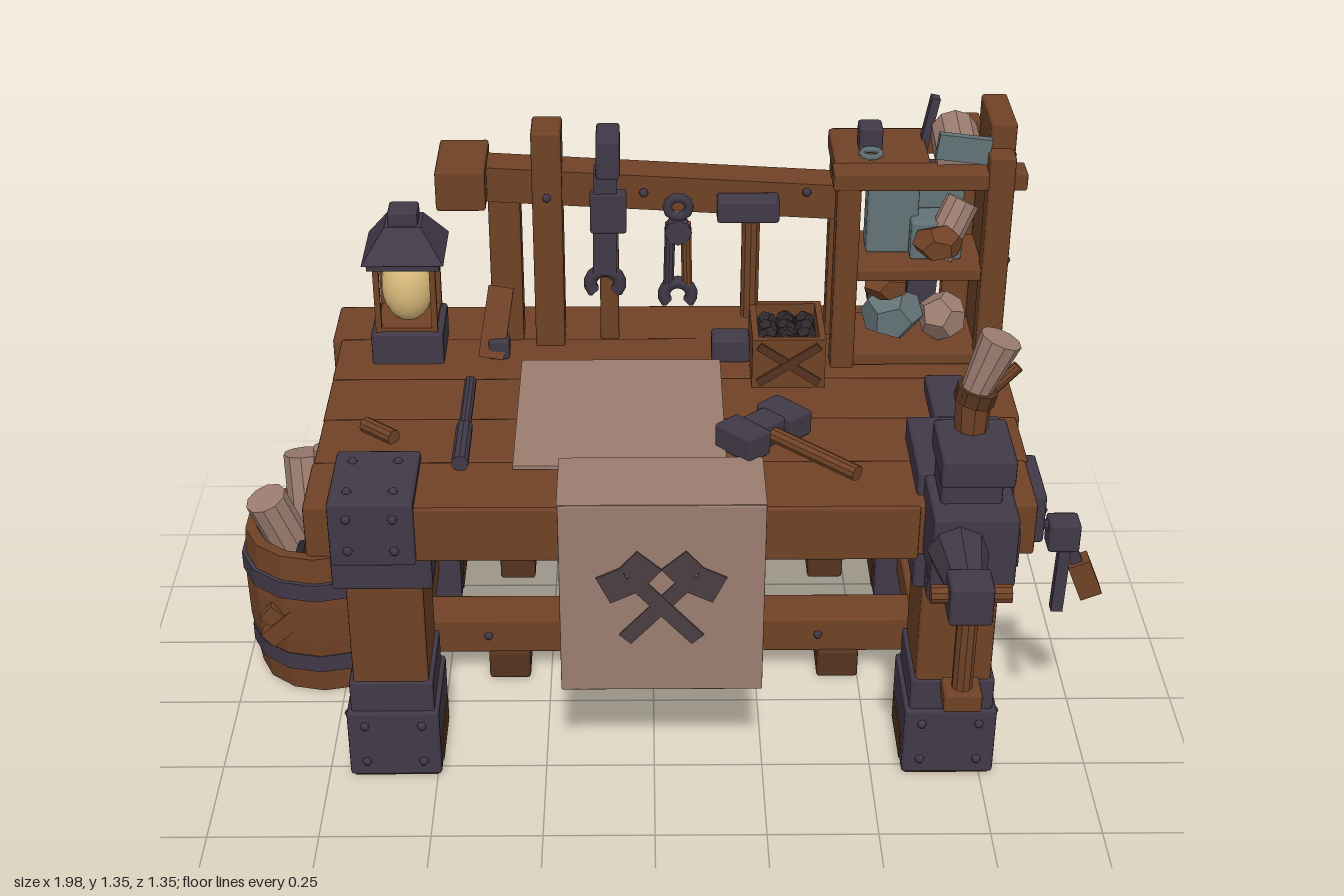
import * as THREE from 'three';
import { toCreasedNormals } from 'three/addons/utils/BufferGeometryUtils.js';
import { RoundedBoxGeometry } from 'three/addons/geometries/RoundedBoxGeometry.js';

const mat = (name, color) => {
  const m = new THREE.MeshStandardMaterial({ color });
  m.name = name;
  return m;
};

export function createModel() {
  const wood = mat('wood', 0x704226), darkWood = mat('dark wood', 0x54321f);
  const metal = mat('iron', 0x413947), paper = mat('parchment', 0x9c7d70);
  const slate = mat('slate cloth', 0x627276), glow = mat('lantern glow', 0xdcbc7c);
  const coal = mat('coal', 0x2b272b), ink = mat('banner ink', 0x4a3d40);
  const rust = mat('rust', 0x75461f);

  const model = new THREE.Group();
  model.name = 'workbench';
  let part = model;
  const group = (name) => {
    part = new THREE.Group();
    part.name = name;
    model.add(part);
    return part;
  };
  let seed = 7;
  const rnd = () => ((seed = (seed * 16807) % 2147483647) / 2147483647) - 0.5;

  const add = (name, geo, m, x = 0, y = 0, z = 0) => {
    const mesh = new THREE.Mesh(geo, m);
    mesh.name = name;
    mesh.position.set(x, y, z);
    part.add(mesh);
    return mesh;
  };
  // Chamfered block given by its limits
  const box = (name, m, x0, x1, y0, y1, z0, z1) => {
    const w = x1 - x0, h = y1 - y0, d = z1 - z0, s = Math.min(w, h, d);
    const geo = s < 0.02 ? new THREE.BoxGeometry(w, h, d) : new RoundedBoxGeometry(w, h, d, 1, Math.min(0.007, s * 0.15));
    return add(name, geo, m, (x0 + x1) / 2, (y0 + y1) / 2, (z0 + z1) / 2);
  };
  const crease = (g) => toCreasedNormals(g, 0.6);
  const cyl = (name, m, r0, r1, h, x, y, z, n = 8) => add(name, crease(new THREE.CylinderGeometry(r0, r1, h, n)), m, x, y, z);
  // Round or square bar between two points
  const bar = (name, m, a, b, w, d = 0) => {
    const p = new THREE.Vector3(...a), q = new THREE.Vector3(...b), len = p.distanceTo(q);
    const geo = d ? new THREE.BoxGeometry(w, len, d) : crease(new THREE.CylinderGeometry(w, w, len, 10));
    const mesh = add(name, geo, m);
    mesh.position.copy(p).lerp(q, 0.5);
    mesh.quaternion.setFromUnitVectors(new THREE.Vector3(0, 1, 0), q.sub(p).normalize());
    return mesh;
  };
  const bolt = (x, y, z) => add('bolt', new THREE.SphereGeometry(0.011, 6, 4), metal, x, y, z);
  const lump = (name, m, r, x, y, z, sy = 1) => {
    const l = add(name, new THREE.DodecahedronGeometry(r), m, x, y, z);
    l.scale.y = sy;
    l.rotation.y = rnd() * 6;
    return l;
  };

  // Table top planks around a solid core
  group('tableTop');
  box('topCore', darkWood, -0.73, 0.81, 0.625, 0.742, -0.62, 0.29);
  [-0.64, -0.46, -0.26, -0.07, 0.12, 0.31].forEach((z, i, a) => {
    if (i) box('topPlank', wood, -0.76 + rnd() * 0.03, 0.835 + rnd() * 0.03, 0.62 + rnd() * 0.01, 0.75 + rnd() * 0.006, a[i - 1], z);
  });
  box('frontEdge', wood, -0.53, 0.57, 0.615, 0.747, 0.28, 0.318);

  // Legs with iron shoes and brackets
  group('legs');
  for (const [x0, x1] of [[-0.7, -0.49], [0.57, 0.78]]) {
    for (const [z0, z1, front] of [[0.06, 0.29, 1], [-0.63, -0.42, -1]]) {
      const xm = (x0 + x1) / 2, zm = (z0 + z1) / 2, side = Math.sign(xm);
      box('leg', wood, x0 + 0.02, x1 - 0.02, 0.02, 0.63, z0 + 0.015, z1 - 0.015);
      box('shoe', metal, x0, x1, 0.01, 0.185, z0, z1);
      box('sole', darkWood, x0 + 0.01, x1 - 0.01, 0.003, 0.012, z0 + 0.01, z1 - 0.01);
      box('shoeCollar', metal, x0 + 0.01, x1 - 0.01, 0.18, 0.265, z0 + 0.01, z1 - 0.01);
      for (const s of [-1, 1]) {
        const fx = s < 0 ? x0 : x1;
        box('shoeWoodPatch', s === side ? rust : darkWood, fx - 0.003, fx + 0.003, 0.022, 0.09, z0 + 0.03, z1 - 0.04);
        bolt(xm + s * 0.065, 0.15, front > 0 ? z1 : z0);
        bolt(xm + s * 0.065, 0.05, front > 0 ? z1 : z0);
        bolt(side > 0 ? x1 : x0, 0.15, zm + s * 0.065);
      }
      box('legBracket', metal, x0 - 0.005, x1 + 0.005, 0.53, 0.622, front > 0 ? 0.17 : z0 - 0.005, front > 0 ? z1 + 0.01 : z1);
    }
    const xm = (x0 + x1) / 2;
    box('sideApron', wood, xm - 0.07, xm + 0.07, 0.51, 0.63, -0.6, 0.25);
    box('sideRail', wood, xm - 0.05, xm + 0.05, 0.09, 0.175, -0.45, 0.08);
    box('railClamp', metal, xm - 0.055, xm + 0.055, 0.085, 0.18, 0.03, 0.07);
  }

  // Back panel boards, lower stretcher and stub feet
  group('frame');
  box('panelCore', darkWood, -0.52, 0.6, 0.09, 0.62, -0.575, -0.54);
  [0.08, 0.21, 0.34, 0.46, 0.625].forEach((y, i, a) => {
    if (i) box('backBoard', wood, -0.52, 0.6, a[i - 1], y, -0.585 + rnd() * 0.008, -0.53);
  });
  box('stretcher', wood, -0.6, 0.68, 0.075, 0.17, -0.21, -0.1);
  for (const x of [-0.35, 0.45]) {
    box('stretcherFoot', darkWood, x - 0.05, x + 0.05, 0.005, 0.08, -0.2, -0.09);
    box('panelFoot', darkWood, x - 0.045, x + 0.045, 0.01, 0.085, -0.6, -0.52);
    bolt(x - 0.05, 0.125, -0.1);
  }
  // Dark cracks in the boards
  for (const [x, y, w] of [[-0.35, 0.53, 0.25], [0.4, 0.5, 0.2], [-0.38, 0.4, 0.18], [0.38, 0.38, 0.24], [-0.3, 0.29, 0.3], [0.3, 0.16, 0.2]])
    for (const z of [-0.528, -0.588]) box('crack', darkWood, x - w / 2, x + w / 2, y - 0.004, y + 0.004, z - 0.002, z + 0.002);

  // Iron corner caps
  group('cornerCaps');
  const cap = (x0, x1, z0, z1, zf) => {
    box('cornerCap', metal, x0, x1, 0.61, 0.768, z0, z1);
    for (const dx of [0.04, 0.14]) {
      for (const y of [0.65, 0.73]) bolt(x0 + dx, y, zf);
      for (const z of [z0 + 0.05, z1 - 0.05]) bolt(x0 + dx, 0.768, z);
    }
  };
  cap(-0.7, -0.515, 0.1, 0.328, 0.328);
  cap(0.57, 0.75, -0.67, -0.52, -0.67);
  box('backBracket', metal, -0.69, -0.52, 0.6, 0.735, -0.67, -0.55);
  box('endPlate', metal, 0.8, 0.85, 0.62, 0.74, 0.08, 0.26);
  for (const z of [0.12, 0.22]) bolt(0.85, 0.68, z);

  // Draped banner with crossed tools
  group('banner');
  box('tableSheet', paper, -0.31, 0.16, 0.752, 0.761, -0.33, 0.16);
  box('drapeTop', paper, -0.21, 0.24, 0.753, 0.764, 0.13, 0.328);
  box('drapeFront', paper, -0.208, 0.24, 0.28, 0.762, 0.308, 0.331);
  for (const s of [-1, 1]) {
    const z = 0.333 + s * 0.0008, tilt = s * 0.65;
    bar('emblemHandle', ink, [0.015 + s * 0.08, 0.42, z], [0.015 - s * 0.07, 0.585, z], 0.036, 0.005);
    for (const e of [-1, 1]) {
      const head = box('emblemHead', ink, -0.03, 0.03, -0.036, 0.036, z - 0.0025, z + 0.0025);
      head.position.set(0.015 - s * 0.073 + e * 0.034 * Math.cos(tilt), 0.583 + e * 0.034 * Math.sin(tilt), z);
      head.rotation.z = tilt + e * 0.2;
    }
  }

  // Bench vise
  group('vise');
  box('viseBed', metal, 0.63, 0.72, 0.75, 0.79, -0.2, 0.1);
  box('viseRearJaw', metal, 0.565, 0.775, 0.745, 0.805, 0.02, 0.27);
  box('viseFrontJaw', metal, 0.58, 0.76, 0.63, 0.8, 0.26, 0.45);
  box('viseFoot', metal, 0.59, 0.75, 0.53, 0.64, 0.25, 0.35);
  box('viseNeck', metal, 0.6, 0.73, 0.79, 0.875, 0.26, 0.385);
  box('viseCap', metal, 0.59, 0.745, 0.87, 0.935, 0.26, 0.44);
  const screw = cyl('viseScrew', metal, 0.035, 0.065, 0.18, 0.635, 0.72, 0.53, 8);
  screw.rotation.x = Math.PI / 2;
  box('viseScrewEnd', metal, 0.59, 0.68, 0.685, 0.775, 0.59, 0.67);
  bar('viseHandle', wood, [0.635, 0.5, 0.625], [0.635, 0.72, 0.625], 0.022);
  box('viseHandleKnob', wood, 0.595, 0.675, 0.46, 0.505, 0.59, 0.66);
  bar('viseCrossPin', wood, [0.555, 0.735, 0.625], [0.72, 0.735, 0.625], 0.02);
  box('viseSidePlate', metal, 0.755, 0.768, 0.665, 0.75, 0.37, 0.42);
  cyl('toolCup', wood, 0.04, 0.035, 0.09, 0.665, 0.98, 0.3);
  bar('toolBand', darkWood, [0.665, 1.0, 0.3], [0.672, 1.03, 0.3], 0.044);
  const roll = cyl('paperRoll', paper, 0.045, 0.032, 0.13, 0.69, 1.085, 0.3, 10);
  roll.rotation.z = -0.35;
  bar('cupStick', wood, [0.68, 0.98, 0.27], [0.76, 1.06, 0.26], 0.013);

  // Tongs and hammer hanging from the right end
  group('hangingTools');
  bar('hook', metal, [0.83, 0.66, 0.24], [0.89, 0.65, 0.24], 0.012);
  box('hangingHead', metal, 0.86, 0.93, 0.6, 0.67, 0.21, 0.27);
  bar('hangingProng', metal, [0.9, 0.61, 0.25], [0.895, 0.44, 0.25], 0.026, 0.026);
  bar('hangingShaft', metal, [0.91, 0.61, 0.235], [0.945, 0.53, 0.235], 0.025, 0.025);
  bar('hangingHandle', wood, [0.935, 0.56, 0.235], [0.97, 0.475, 0.235], 0.05, 0.045);

  // Tool rack
  group('toolRack');
  bar('rackBeam', wood, [-0.49, 1.17, -0.485], [0.46, 1.115, -0.485], 0.085, 0.09);
  box('rackBeamEnd', wood, -0.5, -0.385, 1.125, 1.225, -0.57, -0.375);
  box('rackPostTall', wood, -0.28, -0.21, 0.745, 1.3, -0.53, -0.42);
  box('rackPostShort', wood, -0.385, -0.31, 0.745, 1.13, -0.53, -0.45);
  box('rackPostThin', wood, -0.125, -0.08, 0.745, 1.13, -0.53, -0.46);
  bar('rackBrace', wood, [-0.385, 0.75, -0.36], [-0.36, 0.9, -0.44], 0.06, 0.04);
  box('rackPeg', metal, -0.39, -0.34, 0.75, 0.8, -0.4, -0.35);
  for (const x of [-0.4, -0.245, -0.02, 0.36]) bolt(x, 1.145, -0.435 + (x < -0.2 ? 0.03 : 0));
  const jaws = (name, x, y, r) => {
    const j = add(name, new THREE.TorusGeometry(r, r * 0.5, 5, 10, Math.PI * 1.45), metal, x, y, -0.41);
    j.rotation.z = Math.PI * 0.775 - Math.PI;
  };
  box('wrenchHook', metal, -0.13, -0.075, 1.2, 1.295, -0.5, -0.38);
  bar('wrenchShaft', metal, [-0.108, 1.22, -0.41], [-0.112, 0.95, -0.41], 0.055, 0.03);
  box('wrenchCollar', metal, -0.145, -0.06, 1.06, 1.16, -0.43, -0.39);
  jaws('wrenchJaw', -0.112, 0.925, 0.034);
  add('plierEye', new THREE.TorusGeometry(0.025, 0.012, 5, 10), metal, 0.06, 1.12, -0.41);
  for (const s of [-1, 1]) bar('plierArm', s < 0 ? metal : wood, [0.06 + s * 0.018, 1.08, -0.41], [0.06 + s * 0.022, 0.92, -0.41], 0.013);
  cyl('plierPivot', metal, 0.032, 0.032, 0.03, 0.06, 1.06, -0.41).rotation.x = Math.PI / 2;
  jaws('plierJaw', 0.06, 0.895, 0.032);
  box('hammerHead', metal, 0.15, 0.295, 1.09, 1.145, -0.44, -0.38);
  bar('hammerHandle', wood, [0.23, 1.09, -0.41], [0.23, 0.84, -0.41], 0.022);

  // Shelf tower
  group('shelfTower');
  box('towerSide', wood, 0.765, 0.825, 0.74, 1.35, -0.535, -0.35);
  box('towerSideFront', wood, 0.76, 0.82, 0.74, 1.29, -0.355, -0.295);
  for (const z of [-0.545, -0.37]) box('towerPost', wood, 0.42, 0.475, 0.74, 1.24, z, z + 0.065);
  box('towerBackPost', wood, 0.7, 0.765, 0.74, 1.3, -0.545, -0.5);
  box('towerTop', wood, 0.415, 0.635, 1.205, 1.255, -0.56, -0.36);
  box('towerFrontRail', wood, 0.41, 0.85, 1.205, 1.25, -0.37, -0.3);
  box('towerBackRail', wood, 0.42, 0.85, 1.2, 1.25, -0.575, -0.525);
  for (const y of [0.755, 0.975]) box('towerShelf', wood, 0.45, 0.78, y, y + 0.03, -0.53, -0.31);
  for (const y of [0.85, 1.0, 1.15, 1.25]) bolt(0.826, y, -0.37 - (y * 10 % 2) * 0.07);
  box('ironFitting', metal, 0.475, 0.53, 1.25, 1.31, -0.48, -0.42);
  bar('topScroll', paper, [0.7, 1.275, -0.49], [0.7, 1.255, -0.35], 0.055);
  bar('clothRoll', slate, [0.645, 1.3, -0.345], [0.765, 1.285, -0.345], 0.06, 0.02);
  bar('ironSpike', metal, [0.63, 1.22, -0.5], [0.655, 1.355, -0.5], 0.02, 0.03);
  box('slateBook', slate, 0.5, 0.62, 1.005, 1.18, -0.47, -0.4);
  box('slateStack', slate, 0.6, 0.72, 1.005, 1.1, -0.46, -0.36);
  box('slateBoard', slate, 0.54, 0.73, 1.1, 1.2, -0.48, -0.44);
  lump('slateSack', slate, 0.075, 0.57, 0.85, -0.4, 0.9);
  lump('paleSack', paper, 0.06, 0.69, 0.84, -0.4);
  lump('brownSack', wood, 0.06, 0.55, 0.94, -0.38, 0.7);
  lump('brownBag', wood, 0.06, 0.66, 1.06, -0.34, 0.7);
  bar('shelfScroll', paper, [0.66, 1.02, -0.36], [0.72, 1.14, -0.4], 0.04);
  box('backTools', metal, 0.51, 0.68, 1.03, 1.19, -0.53, -0.49);
  bar('backTool', metal, [0.6, 1.2, -0.51], [0.56, 0.83, -0.51], 0.08, 0.03);
  bar('backTool', metal, [0.66, 1.05, -0.52], [0.65, 0.8, -0.52], 0.07, 0.03);

  // Lantern
  group('lantern');
  const lx = -0.58, lz = -0.415;
  box('lanternBase', metal, lx - 0.085, lx + 0.085, 0.745, 0.83, lz - 0.085, lz + 0.085);
  box('lanternPlate', wood, lx - 0.07, lx + 0.07, 0.825, 0.84, lz - 0.07, lz + 0.07);
  add('lanternGlass', new THREE.SphereGeometry(0.062, 20, 14), glow, lx, 0.92, lz).scale.y = 1.45;
  for (const sx of [-1, 1]) for (const sz of [-1, 1]) bar('lanternPost', wood, [lx + sx * 0.066, 0.83, lz + sz * 0.066], [lx + sx * 0.066, 1.01, lz + sz * 0.066], 0.014, 0.014);
  box('lanternEave', metal, lx - 0.085, lx + 0.085, 0.995, 1.015, lz - 0.085, lz + 0.085);
  cyl('lanternRoof', metal, 0.06, 0.135, 0.075, lx, 1.05, lz, 4).rotation.y = Math.PI / 4;
  box('lanternFinial', metal, lx - 0.035, lx + 0.035, 1.08, 1.12, lz - 0.035, lz + 0.035);

  // Barrel of scrolls
  group('barrel').position.set(-0.8, 0, -0.215);
  const lathe = (name, m, pts) => {
    const g = new THREE.LatheGeometry(pts.map((p) => new THREE.Vector2(...p)), 14).toNonIndexed();
    g.computeVertexNormals();
    return add(name, g, m);
  };
  lathe('barrelStaves', wood, [[0, 0.005], [0.172, 0.005], [0.188, 0.15], [0.19, 0.25], [0.182, 0.39], [0.155, 0.39], [0.155, 0.33], [0, 0.33]]);
  for (const [y, r] of [[0.07, 0.187], [0.28, 0.196]]) lathe('barrelHoop', metal, [[r - 0.03, y], [r, y], [r, y + 0.045], [r - 0.03, y + 0.045]]);
  for (const [x, z, tx, tz, h] of [[-0.06, 0.02, -0.12, 0.05, 0.48], [0.04, -0.06, 0.03, -0.09, 0.54], [0.08, 0.05, 0.1, 0.09, 0.46], [-0.04, -0.08, -0.05, -0.13, 0.5]])
    bar('scroll', paper, [x, 0.3, z], [tx, h, tz], 0.05);
  for (let i = 0; i < 7; i++) lump('barrelScrap', i % 2 ? wood : coal, 0.04, rnd() * 0.2, 0.36 + rnd() * 0.04, rnd() * 0.2);
  for (const s of [-1, 1]) bar('barrelPatch', wood, [-0.08 - s * 0.045, 0.155, 0.16], [-0.08 + s * 0.045, 0.235, 0.16], 0.045, 0.03 + s * 0.004);

  // Loose things on the table
  group('tableTools');
  for (const [x0, x1, z0, z1] of [[0.23, 0.4, -0.225, -0.21], [0.23, 0.4, -0.41, -0.395], [0.23, 0.245, -0.41, -0.21], [0.385, 0.4, -0.41, -0.21]])
    box('crateSide', wood, x0, x1, 0.75, 0.875, z0, z1);
  for (const z of [-0.412, -0.208]) for (const s of [-1, 1])
    bar('crateBrace', darkWood, [0.315 - s * 0.07, 0.765, z], [0.315 + s * 0.07, 0.86, z], 0.02, 0.008 + s * 0.001);
  box('crateFill', coal, 0.24, 0.39, 0.75, 0.83, -0.4, -0.22);
  for (let i = 0; i < 12; i++) lump('coalLump', coal, 0.025, 0.27 + (i % 3) * 0.045, 0.84, -0.375 + Math.floor(i / 3) * 0.04);
  box('ironIngot', metal, 0.14, 0.23, 0.75, 0.81, -0.4, -0.33);
  // Double-ended mallet
  for (const e of [-1, 0, 1]) {
    const h = e ? 0.055 : 0.035;
    box('malletHead', metal, -0.035, 0.035, 0.755, 0.815, -h, h).rotation.y = 0.75;
    part.children.at(-1).position.set(0.245 + e * 0.048, 0.785, 0.04 - e * 0.045);
  }
  bar('malletHandle', wood, [0.26, 0.785, 0.06], [0.44, 0.775, 0.22], 0.018);
  bar('chisel', metal, [-0.425, 0.765, -0.22], [-0.425, 0.765, 0.02], 0.014);
  bar('chiselHandle', metal, [-0.425, 0.768, 0.0], [-0.425, 0.768, 0.16], 0.019);
  bar('woodScrap', wood, [-0.65, 0.765, -0.02], [-0.58, 0.765, 0.04], 0.018);
  add('slateRing', new THREE.TorusGeometry(0.022, 0.008, 5, 10), slate, 0.5, 1.262, -0.39).rotation.x = Math.PI / 2;

  return model;
}
